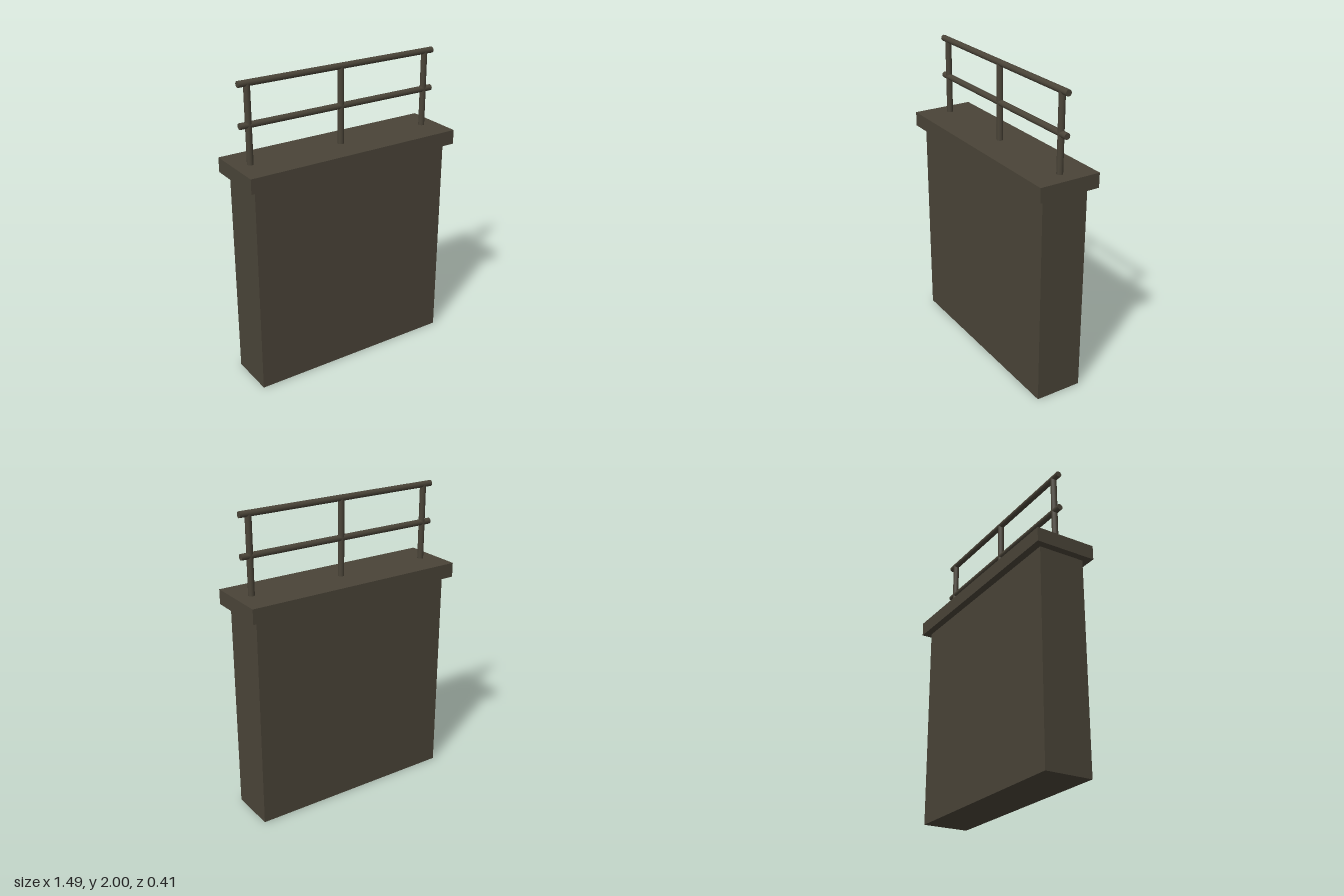
import * as THREE from 'three';

export function createModel() {
  const group = new THREE.Group();
  const stone = new THREE.MeshStandardMaterial({ color: 0x4a4438 });
  stone.name = 'dark stone';

  const add = (name, geometry, x, y, z = 0) => {
    const mesh = new THREE.Mesh(geometry, stone);
    mesh.name = name;
    mesh.position.set(x, y, z);
    group.add(mesh);
    return mesh;
  };

  const wallTop = 1.39, capTop = 1.485, railRadius = 0.02, topRailY = 1.98;

  // Wall and overhanging cap
  add('wall', new THREE.BoxGeometry(1.4, wallTop, 0.314), 0, wallTop / 2);
  add('cap', new THREE.BoxGeometry(1.494, capTop - wallTop, 0.41), 0, (wallTop + capTop) / 2);

  // Railing posts
  const postHeight = topRailY - capTop;
  for (const x of [-0.64, 0, 0.64]) {
    add('post', new THREE.CylinderGeometry(railRadius, railRadius, postHeight, 12), x, capTop + postHeight / 2);
  }

  // Horizontal rails
  for (const [name, y] of [['topRail', topRailY], ['middleRail', 1.73]]) {
    add(name, new THREE.CylinderGeometry(railRadius, railRadius, 1.4, 12), 0, y).rotation.z = Math.PI / 2;
  }

  return group;
}
